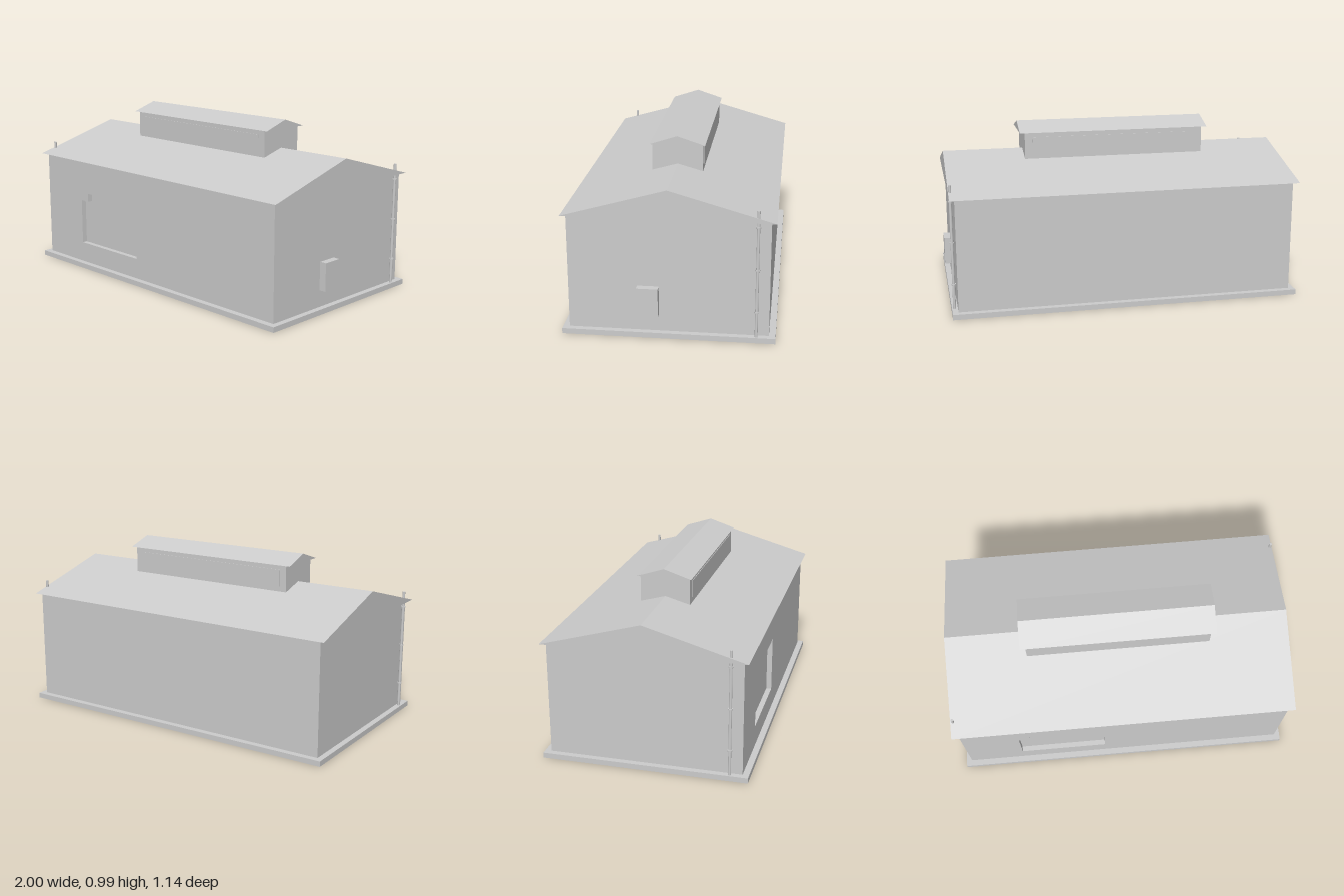
import * as THREE from 'three';

const material = new THREE.MeshStandardMaterial({ color: 0xcccccc, flatShading: true });
const smooth = new THREE.MeshStandardMaterial({ color: 0xcccccc });
const CX = -0.004; // centre of the building along x

function add(parent, name, geometry, x, y, z, mat = material) {
  const mesh = new THREE.Mesh(geometry, mat);
  mesh.name = name;
  mesh.position.set(x, y, z);
  parent.add(mesh);
  return mesh;
}

// Box given by its centre in x and z and its bottom height
function block(parent, name, w, h, d, x, y, z) {
  return add(parent, name, new THREE.BoxGeometry(w, h, d), x, y + h / 2, z);
}

// Closed gable prism with its ridge along x
function gable(parent, name, length, halfDepth, y, rise, x) {
  const shape = new THREE.Shape([
    new THREE.Vector2(-halfDepth, 0),
    new THREE.Vector2(halfDepth, 0),
    new THREE.Vector2(0, rise),
  ]);
  const g = new THREE.ExtrudeGeometry(shape, { depth: length, bevelEnabled: false });
  g.translate(0, 0, -length / 2).rotateY(Math.PI / 2);
  return add(parent, name, g, x, y, 0);
}

function pipe(x, z) {
  const group = new THREE.Group();
  group.name = 'drainPipe';
  add(group, 'pipeTube', new THREE.CylinderGeometry(0.008, 0.008, 0.705, 16), x, 0.3825, z, smooth);
  for (const y of [0.172, 0.41, 0.645]) {
    add(group, 'pipeCollar', new THREE.CylinderGeometry(0.013, 0.013, 0.007, 16), x, y, z);
  }
  return group;
}

export function createModel() {
  const model = new THREE.Group();
  model.name = 'building';

  // Base slab and main walls
  block(model, 'baseSlab', 1.99, 0.03, 1.14, CX, 0, 0);
  block(model, 'walls', 1.924, 0.642, 1.04, CX, 0.03, -0.015);

  // Front wall layer with the stepped, recessed doorway
  const front = new THREE.Shape([
    [CX - 0.962, 0.03], [CX + 0.962, 0.03], [CX + 0.962, 0.672], [CX - 0.962, 0.672],
  ].map(([x, y]) => new THREE.Vector2(x, y)));
  front.holes.push(new THREE.Path([
    [-0.635, 0.15], [-0.635, 0.42], [-0.57, 0.42], [-0.57, 0.47], [-0.122, 0.47], [-0.122, 0.15],
  ].map(([x, y]) => new THREE.Vector2(x, y))));
  add(model, 'frontWall', new THREE.ExtrudeGeometry(front, { depth: 0.03, bevelEnabled: false }), 0, 0, 0.505);

  // Main roof
  gable(model, 'mainRoof', 1.984, 0.562, 0.67, 0.159, -0.006);

  // Raised ridge vent with side panels and its own roof
  block(model, 'ventWalls', 1.056, 0.154, 0.28, CX, 0.79, 0);
  for (const side of [-1, 1]) {
    block(model, 'ventPanel', 0.97, 0.095, 0.006, CX, 0.82, side * 0.14);
  }
  gable(model, 'ventRoof', 1.114, 0.153, 0.942, 0.05, CX);

  // Drain pipes at opposite corners
  model.add(pipe(-0.983, 0.468), pipe(0.976, -0.468));

  // Utility box on the side wall
  block(model, 'utilityBox', 0.042, 0.16, 0.115, 0.977, 0.125, 0.107);

  return model;
}
